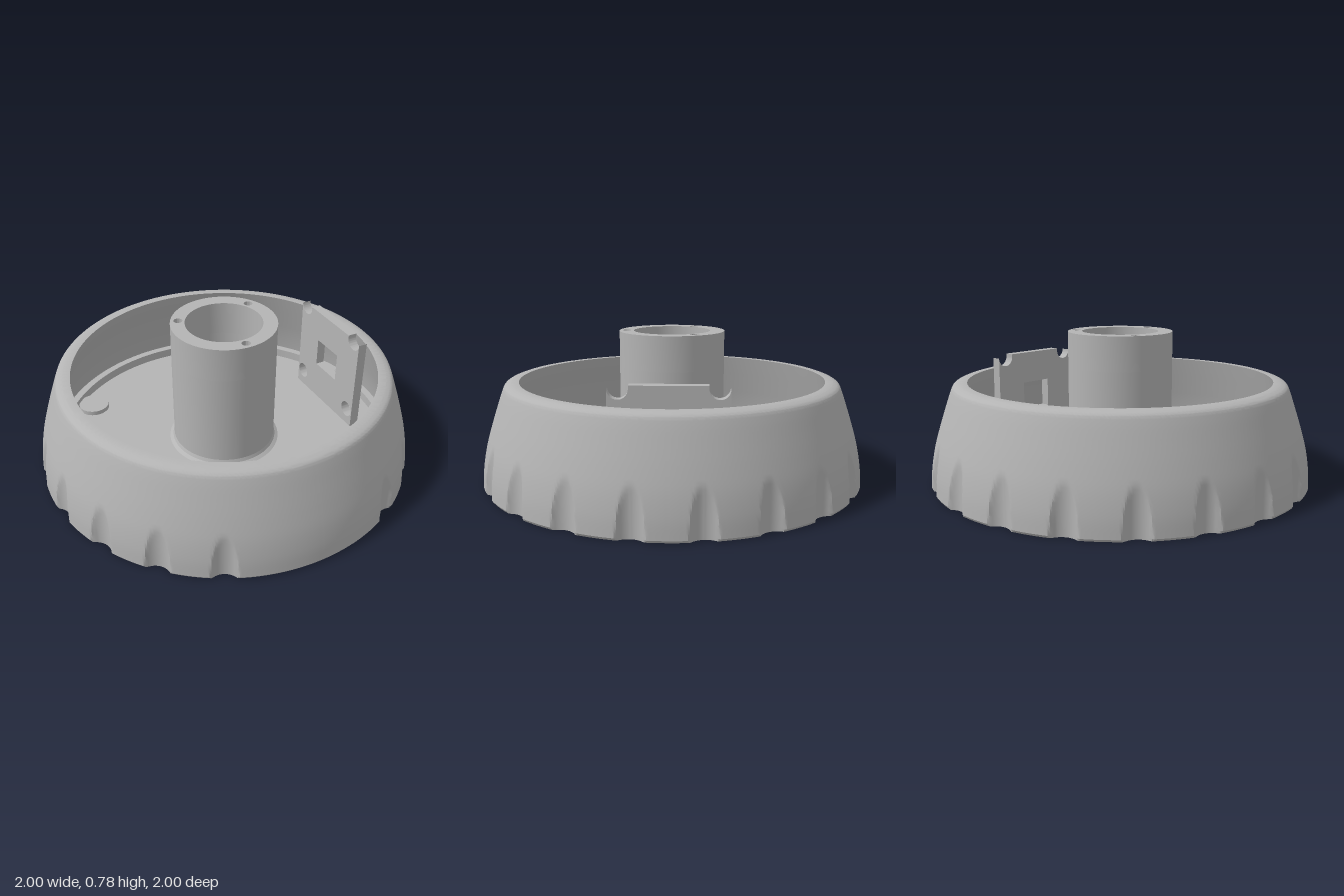
import * as THREE from 'three';
import { toCreasedNormals } from 'three/addons/utils/BufferGeometryUtils.js';

const grey = new THREE.MeshStandardMaterial({ color: 0xb4b4b4 });
grey.name = 'plain grey';

const FLOOR = 0.07;

function add(group, name, geometry) {
  const mesh = new THREE.Mesh(toCreasedNormals(geometry, 0.5), grey);
  mesh.name = name;
  group.add(mesh);
  return mesh;
}

function circle(x, y, r, Type = THREE.Path) {
  const path = new Type();
  path.absarc(x, y, r, 0, Math.PI * 2, false);
  return path;
}

// Disc with round holes given as [x, z, radius], lying between two heights
function disc(radius, holes, y0, y1) {
  const shape = circle(0, 0, radius, THREE.Shape);
  holes.forEach(([x, z, r]) => shape.holes.push(circle(x, -z, r)));
  const geo = new THREE.ExtrudeGeometry(shape, { depth: y1 - y0, bevelEnabled: false, curveSegments: 48 });
  return geo.rotateX(-Math.PI / 2).translate(0, y0, 0);
}

const lathe = (points, segments) =>
  new THREE.LatheGeometry(points.map(([x, y]) => new THREE.Vector2(x, y)), segments);

// Domed wall, with grip scallops cut by upright cylinders all round except at the front
function shellGeometry() {
  const outer = new THREE.SplineCurve([
    [1, 0.012], [0.993, 0.1], [0.975, 0.2], [0.947, 0.3], [0.915, 0.4],
    [0.886, 0.485], [0.87, 0.516], [0.838, 0.53],
  ].map(([x, y]) => new THREE.Vector2(x, y))).getPoints(32).map((p) => [p.x, p.y]);
  const geo = lathe([
    [0.88, 0.062], [0.937, 0.062], [0.937, 0], [0.992, 0],
    ...outer,
    [0.8, 0.53], [0.835, 0.42], [0.875, 0.3], [0.905, 0.2], [0.92, 0.12],
    [0.88, 0.12], [0.88, 0.062],
  ], 720);

  const step = Math.PI / 10, cutter = 0.081, cutterAt = 1.046;
  const pos = geo.attributes.position;
  for (let i = 0; i < pos.count; i++) {
    const x = pos.getX(i), z = pos.getZ(i);
    const angle = Math.atan2(x, z); // zero at the front
    if (Math.abs(angle) < step) continue;
    const off = angle - (Math.floor(angle / step) + 0.5) * step;
    const side = cutterAt * Math.sin(off);
    if (Math.abs(side) >= cutter) continue;
    const limit = cutterAt * Math.cos(off) - Math.sqrt(cutter ** 2 - side ** 2);
    const r = Math.hypot(x, z);
    if (r > limit) pos.setXYZ(i, (x * limit) / r, pos.getY(i), (z * limit) / r);
  }
  return geo;
}

// Upright plate with corner notches, lower screw holes and a square window
function mountGeometry() {
  const w = 0.275, top = 0.615, nx = 0.227, ny = 0.6, r = 0.048;
  const shape = new THREE.Shape();
  shape.moveTo(-w, FLOOR - 0.01);
  shape.lineTo(w, FLOOR - 0.01);
  shape.lineTo(w, ny);
  shape.absarc(nx, ny, r, 0, Math.PI, true);
  shape.lineTo(nx - r, top);
  shape.lineTo(-nx + r, top);
  shape.lineTo(-nx + r, ny);
  shape.absarc(-nx, ny, r, 0, Math.PI, true);
  shape.lineTo(-w, ny);
  shape.closePath();
  [-1, 1].forEach((s) => shape.holes.push(circle(s * 0.225, 0.16, 0.044)));
  const a = 0.095;
  shape.holes.push(new THREE.Path([[-a, 0.28], [-a, 0.44], [a, 0.44], [a, 0.28]]
    .map(([x, y]) => new THREE.Vector2(x, y))));
  const geo = new THREE.ExtrudeGeometry(shape, { depth: 0.05, bevelEnabled: false, curveSegments: 20 });
  return geo.rotateY(-Math.PI / 2).translate(0.71, 0, 0);
}

export function createModel() {
  const group = new THREE.Group();
  group.name = 'roundHousing';

  add(group, 'outerShell', shellGeometry());

  // Floor with centre bore, cable hole and four blind screw holes
  const corners = [1, 3, 5, 7].map((k) => [0.8 * Math.cos(k * Math.PI / 4), 0.8 * Math.sin(k * Math.PI / 4)]);
  add(group, 'floor', disc(0.895, [
    [0, 0, 0.2], [0.8, 0, 0.072], ...corners.map(([x, z]) => [x, z, 0.052]),
  ], 0, FLOOR));

  // Low bosses closing the screw holes
  corners.forEach(([x, z]) => {
    add(group, 'screwBoss', new THREE.CylinderGeometry(0.085, 0.085, 0.025, 40)).position.set(x, FLOOR + 0.0125, z);
  });

  // Central tube with three screw holes in its rim
  const screws = [0, 1, 2].map((k) => {
    const a = Math.PI / 2 + (k * Math.PI * 2) / 3;
    return [0.235 * Math.cos(a), 0.235 * Math.sin(a), 0.023];
  });
  add(group, 'tubeLower', disc(0.275, [[0, 0, 0.2]], FLOOR, 0.6));
  add(group, 'tubeUpper', disc(0.275, [[0, 0, 0.2], ...screws], 0.6, 0.78));
  add(group, 'tubeFillet', lathe([[0.3, FLOOR], [0.282, FLOOR + 0.012], [0.275, FLOOR + 0.03]], 96));

  add(group, 'mountingPlate', mountGeometry());
  return group;
}
